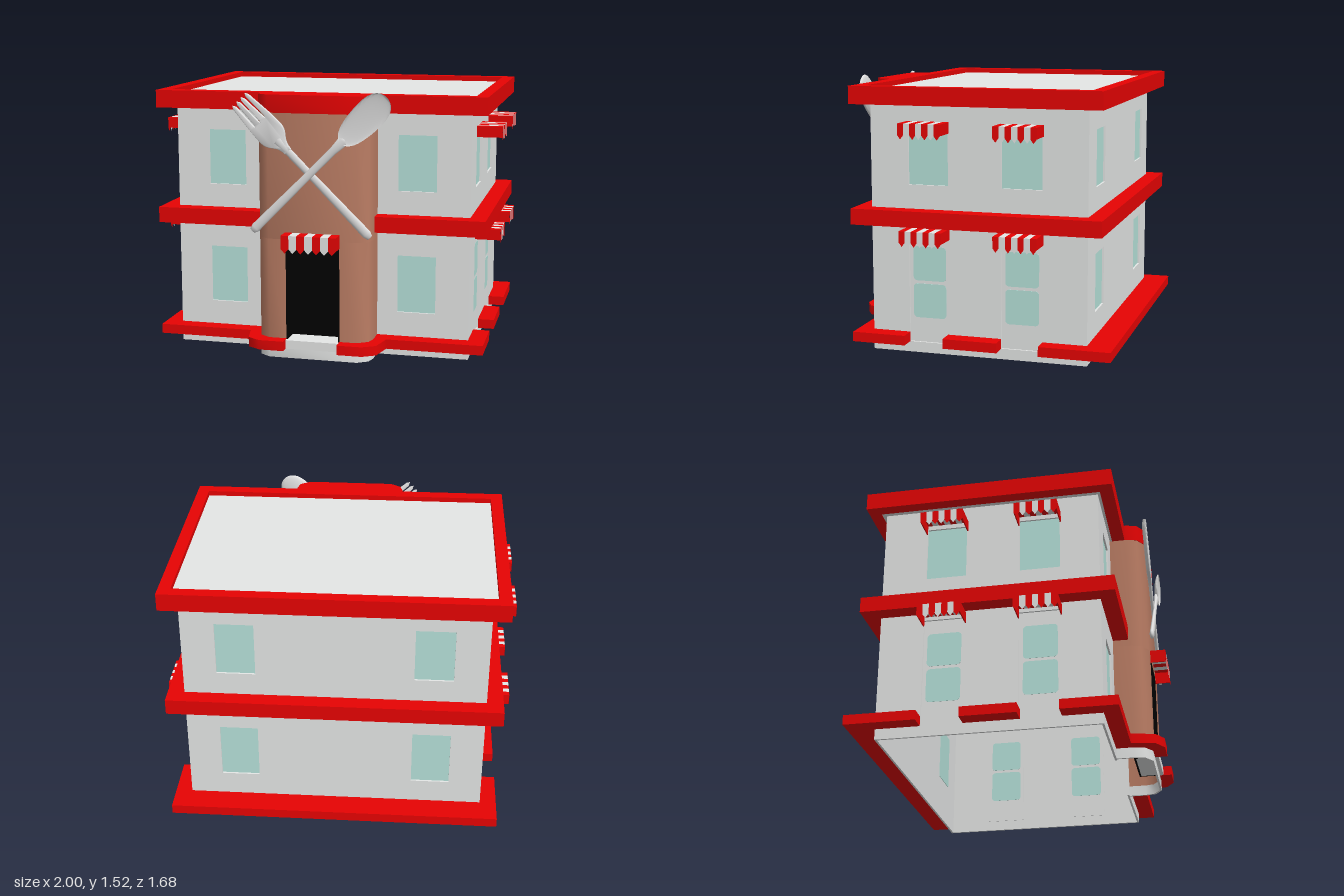
import * as THREE from 'three';
import { toCreasedNormals } from 'three/addons/utils/BufferGeometryUtils.js';

const paint = (name, color) => {
  const m = new THREE.MeshStandardMaterial({ color, side: THREE.DoubleSide });
  m.name = name;
  return m;
};

export function createModel() {
  const model = new THREE.Group();
  model.name = 'restaurant';
  const grey = paint('wall grey', 0xe5e7e6);
  const red = paint('trim red', 0xea0303);
  const glass = paint('window glass', 0xb7e3db);
  const brown = paint('entrance brown', 0xbc7e65);
  const black = paint('doorway black', 0x010101);
  const steel = paint('cutlery steel', 0xdedede);

  const add = (parent, name, geo, mat, x = 0, y = 0, z = 0) => {
    const mesh = new THREE.Mesh(geo, mat);
    mesh.name = name;
    mesh.position.set(x, y, z);
    parent.add(mesh);
    return mesh;
  };
  const box = (parent, name, w, h, d, mat, x, y, z) =>
    add(parent, name, new THREE.BoxGeometry(w, h, d), mat, x, y, z);
  const rect = (x0, y0, x1, y1) => [[x0, y0], [x1, y0], [x1, y1], [x0, y1]];
  const toVectors = (pts) => pts.map(([a, b]) => new THREE.Vector2(a, b));

  // Horizontal slab from plan points [x, z]
  const slab = (name, pts, y0, y1, mat, hole) => {
    const flip = (list) => toVectors(list.map(([x, z]) => [x, -z]));
    const shape = new THREE.Shape(flip(pts));
    if (hole) shape.holes.push(new THREE.Path(flip(hole)));
    const geo = new THREE.ExtrudeGeometry(shape, { depth: y1 - y0, bevelEnabled: false });
    geo.rotateX(-Math.PI / 2);
    return add(model, name, toCreasedNormals(geo, 0.8), mat, 0, y0, 0);
  };
  const mirror = (pts) => pts.map(([x, z]) => [-x, z]);

  // Rounded front corner of the entrance tower, offset outwards by o
  const corner = (o, zBack) => [[0.33 + o, zBack], [0.33 + o, 0.65],
    [0.315 + 0.8 * o, 0.71 + 0.93 * o], [0.255 + 0.6 * o, 0.75 + o]];
  const towerOutline = (o, zBack) => [...corner(o, zBack), ...mirror(corner(o, zBack)).reverse()];

  // Thin walls with window openings: the outer face lies on local z = 0
  const wall = (name, w, openings, x, z, turn) => {
    const g = new THREE.Group();
    g.name = name;
    g.position.set(x, 0, z);
    g.rotation.y = turn;
    model.add(g);
    const shape = new THREE.Shape(toVectors(rect(-w / 2, 0, w / 2, 1.4)));
    for (const o of openings) {
      const [x0, y0, x1, y1] = o.box;
      shape.holes.push(new THREE.Path(toVectors(rect(x0, y0, x1, y1))));
      const cx = (x0 + x1) / 2, cy = (y0 + y1) / 2;
      box(g, o.door ? 'doorPanel' : 'windowGlass', x1 - x0, y1 - y0, 0.004,
        o.door ? grey : glass, cx, cy, -0.013);
      if (o.door) for (const py of [0.2975, 0.51]) doorPane(g, cx, py);
    }
    const geo = new THREE.ExtrudeGeometry(shape, { depth: 0.012, bevelEnabled: false });
    geo.translate(0, 0, -0.012);
    add(g, 'wallPanel', geo, grey);
    return g;
  };

  // Round-cornered door pane, shown on both faces of the door
  function doorPane(parent, x, y) {
    const a = 0.096, b = 0.0975, r = 0.022, s = new THREE.Shape();
    s.absarc(a - r, b - r, r, 0, Math.PI / 2);
    s.absarc(r - a, b - r, r, Math.PI / 2, Math.PI);
    s.absarc(r - a, r - b, r, Math.PI, Math.PI * 1.5);
    s.absarc(a - r, r - b, r, Math.PI * 1.5, Math.PI * 2);
    const geo = new THREE.ExtrudeGeometry(s, { depth: 0.008, bevelEnabled: false, curveSegments: 6 });
    add(parent, 'doorPane', geo, glass, x, y, -0.017);
  }

  // Striped awning with pointed valance, hung from its top back edge
  const awning = (parent, w, d, h, x, y, z) => {
    const g = new THREE.Group();
    g.name = 'awning';
    g.position.set(x, y, z);
    parent.add(g);
    const n = 7, s = w / n;
    const tooth = new THREE.ShapeGeometry(new THREE.Shape(
      toVectors([[-s / 2, 0], [-s / 2, -h], [0, -h - 0.024], [s / 2, -h], [s / 2, 0]])));
    for (let i = 0; i < n; i++) {
      const mat = i % 2 ? grey : red, sx = -w / 2 + s * (i + 0.5);
      box(g, 'awningTopStripe', s, 0.006, d - 0.001, mat, sx, -0.003, (d - 0.001) / 2);
      add(g, 'awningValance', tooth, mat, sx, 0, d);
    }
    for (const e of [-1, 1])
      box(g, 'awningSide', 0.006, h - 0.006, d - 0.001, red, e * (w / 2 - 0.003), -0.006 - (h - 0.006) / 2, (d - 0.001) / 2);
  };

  const floors = [[0.255, 0.585], [0.955, 1.272]];
  const pair = (cx) => floors.map(([y0, y1]) => ({ box: [cx - 0.11, y0, cx + 0.11, y1] }));
  wall('backWall', 1.71, [...pair(-0.555), ...pair(0.555)], 0, -0.69, Math.PI);
  for (const s of [-1, 1]) {
    wall('frontWall', 0.555, pair(s * -0.0225), s * 0.5775, 0.55, 0);
    const spots = [0.214, -0.322].map((z) => -s * (z + 0.07));
    const openings = spots.flatMap((c) => [
      { box: [c - 0.117, 0.06, c + 0.117, 0.69], door: true },
      { box: [c - 0.115, 0.955, c + 0.115, 1.275] },
    ]);
    const side = wall('sideWall', 1.24, openings, s * 0.855, -0.07, s * Math.PI / 2);
    for (const c of spots) for (const y of [0.717, 1.307]) awning(side, 0.244, 0.145, 0.062, c, y, 0);
  }

  // Entrance tower shell, open at the doorway
  const shell = [...towerOutline(0, 0.538), ...towerOutline(-0.012, 0.538).reverse()];
  const jamb = [...corner(0, 0.538), [0.155, 0.75], [0.155, 0.738], ...corner(-0.012, 0.538).reverse()];
  slab('towerFooting', shell, 0, 0.06, grey);
  slab('towerJamb', jamb, 0.06, 0.69, brown);
  slab('towerJamb', mirror(jamb), 0.06, 0.69, brown);
  slab('towerWall', shell, 0.69, 1.4, brown);

  // Recessed doorway and step
  box(model, 'doorwayBack', 0.32, 0.63, 0.01, black, 0, 0.375, 0.635);
  box(model, 'doorwayTop', 0.31, 0.01, 0.11, black, 0, 0.685, 0.694);
  for (const s of [-1, 1]) box(model, 'doorwaySide', 0.01, 0.63, 0.11, black, s * 0.1515, 0.375, 0.694);
  box(model, 'doorStep', 0.31, 0.05, 0.13, grey, 0, 0.085, 0.706);
  awning(model, 0.315, 0.09, 0.076, 0, 0.73, 0.75);

  // Base trim, broken at the doors
  const frontTrim = [[0.155, 0.75], [0.155, 0.82], ...corner(0.07, 0.64).reverse(),
    [0.95, 0.64], [0.95, 0.33], [0.855, 0.33], [0.855, 0.55], ...corner(0, 0.55)];
  slab('baseTrimFront', frontTrim, 0.06, 0.115, red);
  slab('baseTrimFront', mirror(frontTrim), 0.06, 0.115, red);
  for (const s of [-1, 1]) box(model, 'baseTrimSide', 0.095, 0.055, 0.31, red, s * 0.9025, 0.0875, -0.05);
  const backHalf = [[0.855, -0.69], [0.855, -0.44], [0.95, -0.44], [0.95, -0.84]];
  slab('baseTrimBack', [...backHalf, ...mirror(backHalf).reverse()], 0.06, 0.115, red);

  // Middle band, open at the tower
  const bandHalf = [[0.83, -0.665], [0.83, 0.525], [0.325, 0.525], [0.325, 0.64], [0.95, 0.64], [0.95, -0.785]];
  slab('middleBand', [...bandHalf, ...mirror(bandHalf).reverse()], 0.73, 0.82, red);

  // Roof and parapet
  slab('parapet', rect(-0.95, 0.64, 0.95, -0.785), 1.4, 1.5, red, rect(-0.88, 0.565, 0.88, -0.715));
  slab('towerParapet', towerOutline(0.002, 0.64), 1.4, 1.5, red);
  box(model, 'roof', 1.76, 0.07, 1.28, grey, 0, 1.436, -0.075);

  // Crossed fork and spoon, each built along its own +y
  const utensil = (name, x, y, z, turn) => {
    const g = new THREE.Group();
    g.name = name;
    g.position.set(x, y, z);
    g.rotation.z = turn;
    model.add(g);
    const profile = [[0, 0], [0.018, 0.004], [0.027, 0.03], [0.024, 0.25], [0.021, 0.5], [0.022, 0.66], [0.03, 0.74], [0, 0.76]];
    const handle = add(g, 'handle', new THREE.LatheGeometry(toVectors(profile), 16), steel);
    handle.scale.z = 0.5;
    return g;
  };
  const fork = utensil('fork', 0.335, 0.725, 0.768, Math.PI / 4);
  const head = new THREE.Shape();
  head.moveTo(-0.02, 0.66);
  head.bezierCurveTo(-0.025, 0.74, -0.08, 0.73, -0.078, 0.81);
  // Four tines that draw together towards their tips
  for (let i = 0; i < 4; i++) {
    const x = -0.073 + i * 0.04, tip = (i - 1.5) * 0.034;
    head.lineTo(x, 0.89);
    head.lineTo(tip - 0.008, 1.035);
    head.lineTo(tip, 1.05);
    head.lineTo(tip + 0.008, 1.035);
    head.lineTo(x + 0.027, 0.89);
    if (i < 3) head.lineTo(x + 0.0335, 0.875);
  }
  head.lineTo(0.078, 0.81);
  head.bezierCurveTo(0.08, 0.73, 0.025, 0.74, 0.02, 0.66);
  const headGeo = new THREE.ExtrudeGeometry(head, { depth: 0.012, bevelThickness: 0.004, bevelSize: 0.003, bevelSegments: 2 });
  add(fork, 'forkHead', toCreasedNormals(headGeo, 0.9), steel, 0, 0, -0.006);

  const spoon = utensil('spoon', -0.34, 0.735, 0.778, -Math.PI / 4);
  // Blunt egg-shaped bowl with its front pushed in to a dish
  const bowl = new THREE.SphereGeometry(1, 32, 24);
  const p = bowl.attributes.position;
  for (let i = 0; i < p.count; i++) {
    const y = p.getY(i), z = p.getZ(i);
    p.setXYZ(i, p.getX(i) * 0.085 * (1 + 0.15 * y + 0.25 * y * y), y * 0.18, z > 0 ? z * -0.014 : z * 0.028);
  }
  add(spoon, 'spoonBowl', toCreasedNormals(bowl, 0.9), steel, 0, 0.905, 0.012);

  return model;
}
